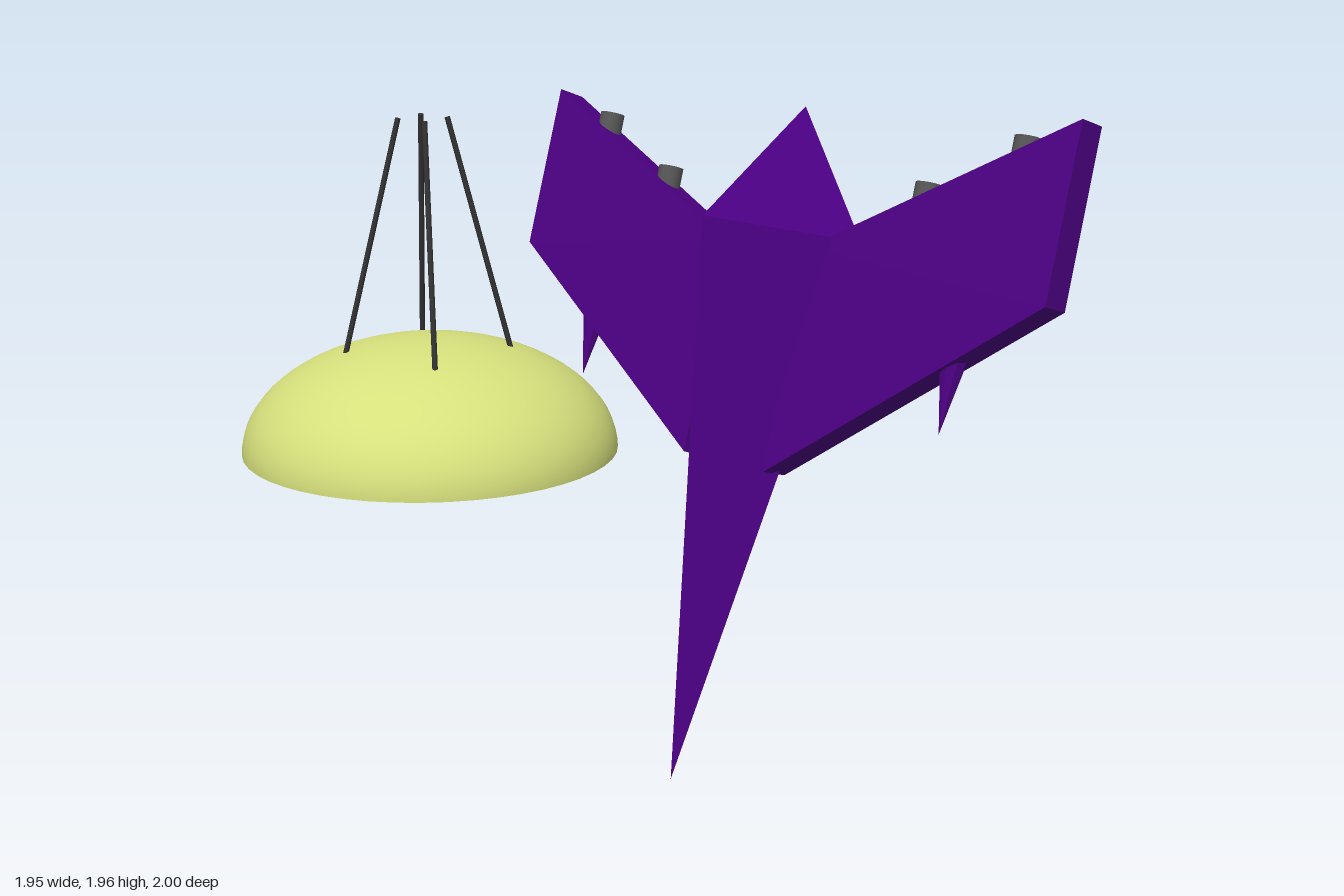
import * as THREE from 'three';
import { ConvexGeometry } from 'three/addons/geometries/ConvexGeometry.js';

const V = (x, y, z) => new THREE.Vector3(x, y, z);
const mat = (color, extra = {}) => new THREE.MeshStandardMaterial({ color, ...extra });
const UP = V(0, 1, 0);

// Main craft axis, nose to tail
const NOSE = V(0, 0, -0.135);
const TAIL = V(0, 1.86, -0.8);
const AXIS = TAIL.clone().sub(NOSE).normalize();

export function createModel() {
  const model = new THREE.Group();
  const purple = mat(0x4b0082, { flatShading: true });
  const grey = mat(0x555555);
  const dark = mat(0x333333);
  const blue = mat(0x6f9cf0, { flatShading: true });
  const yellow = mat(0xd6e07c, { side: THREE.DoubleSide });

  const add = (parent, name, geometry, material) => {
    const mesh = new THREE.Mesh(geometry, material);
    mesh.name = name;
    parent.add(mesh);
    return mesh;
  };
  // Cylinder or cone running from a to b
  const rod = (parent, name, a, b, r0, r1, sides, material) => {
    const d = b.clone().sub(a);
    const mesh = add(parent, name, new THREE.CylinderGeometry(r1, r0, d.length(), sides), material);
    mesh.position.copy(a).add(b).multiplyScalar(0.5);
    mesh.quaternion.setFromUnitVectors(UP, d.normalize());
    return mesh;
  };

  const fighter = new THREE.Group();
  fighter.name = 'fighter';
  model.add(fighter);

  // Hull: long four-sided double pyramid, slightly banked
  const ridge = V(-0.05, 1.605, -0.35);
  const belly = V(0.05, 1.375, -0.985);
  const leftCorner = V(0.288, 1.522, -0.642);
  const rightCorner = V(-0.288, 1.49, -0.722);
  add(fighter, 'hull', new ConvexGeometry([NOSE, TAIL, ridge, belly, leftCorner, rightCorner]), purple);

  // Canopy: thin wedge wrapped over the rear edge of the hull
  const onHull = (a, b, corner) => NOSE.clone()
    .addScaledVector(belly.clone().sub(NOSE), a)
    .addScaledVector(corner.clone().sub(NOSE), b);
  const lift = V(0, -0.004, -0.01);
  add(fighter, 'canopy', new ConvexGeometry([
    onHull(0.865, 0, leftCorner).add(lift),
    onHull(0.59, 0, leftCorner).add(lift),
    onHull(0.411, 0.398, leftCorner).add(lift).add(V(0.006, 0, 0)),
    onHull(0.411, 0.398, rightCorner).add(lift).add(V(-0.006, 0, 0)),
  ]), blue);

  // Wings: tapered slabs given by front-face corners and a thickness vector
  const wings = [
    {
      name: 'left', rootLow: V(0.145, 0.89, -0.378), rootHigh: V(0.145, 1.5, -0.59),
      tipLow: V(0.965, 1.463, -0.437), tipHigh: V(0.965, 1.93, -0.603), thick: V(0.013, -0.03, -0.09),
    },
    {
      name: 'right', rootLow: V(-0.165, 0.885, -0.432), rootHigh: V(-0.165, 1.475, -0.64),
      tipLow: V(-0.977, 1.36, -0.745), tipHigh: V(-0.977, 1.82, -0.915), thick: V(0.017, -0.033, -0.087),
    },
  ];
  for (const w of wings) {
    const group = new THREE.Group();
    group.name = w.name + 'WingAssembly';
    fighter.add(group);
    const front = [w.rootLow, w.rootHigh, w.tipLow, w.tipHigh];
    const back = front.map((p) => p.clone().add(w.thick));
    add(group, w.name + 'Wing', new ConvexGeometry([...front, ...back]), purple);

    // Point in the middle of an edge's thickness at a given |x|
    const along = (a, b, x) => a.clone()
      .lerp(b, (x - Math.abs(a.x)) / (Math.abs(b.x) - Math.abs(a.x)))
      .addScaledVector(w.thick, 0.5);

    // Thrusters on the trailing edge
    for (const x of [0.485, 0.777]) {
      const p = along(w.rootHigh, w.tipHigh, x);
      rod(group, w.name + 'Thruster', p.clone().addScaledVector(AXIS, -0.05),
        p.clone().addScaledVector(AXIS, 0.045), 0.037, 0.037, 12, grey);
    }
    // Spike on the leading edge
    const s = along(w.rootLow, w.tipLow, 0.68);
    rod(group, w.name + 'Spike', s.clone().addScaledVector(AXIS, 0.045),
      s.clone().addScaledVector(AXIS, -0.177), 0.042, 0, 8, purple);
  }

  // Open dome with four struts converging above it
  const pod = new THREE.Group();
  pod.name = 'pod';
  pod.position.set(-0.322, 1.09, 0.505);
  model.add(pod);
  const dome = add(pod, 'dome',
    new THREE.SphereGeometry(0.49, 48, 20, 0, Math.PI * 2, 0, Math.PI / 2), yellow);
  dome.scale.y = 0.6;
  for (const sx of [-1, 1]) {
    for (const sz of [-1, 1]) {
      rod(pod, 'strut', V(0.19 * sx, 0.04, 0.19 * sz), V(0.044 * sx, 0.865, 0.044 * sz), 0.007, 0.007, 8, dark);
    }
  }
  return model;
}
